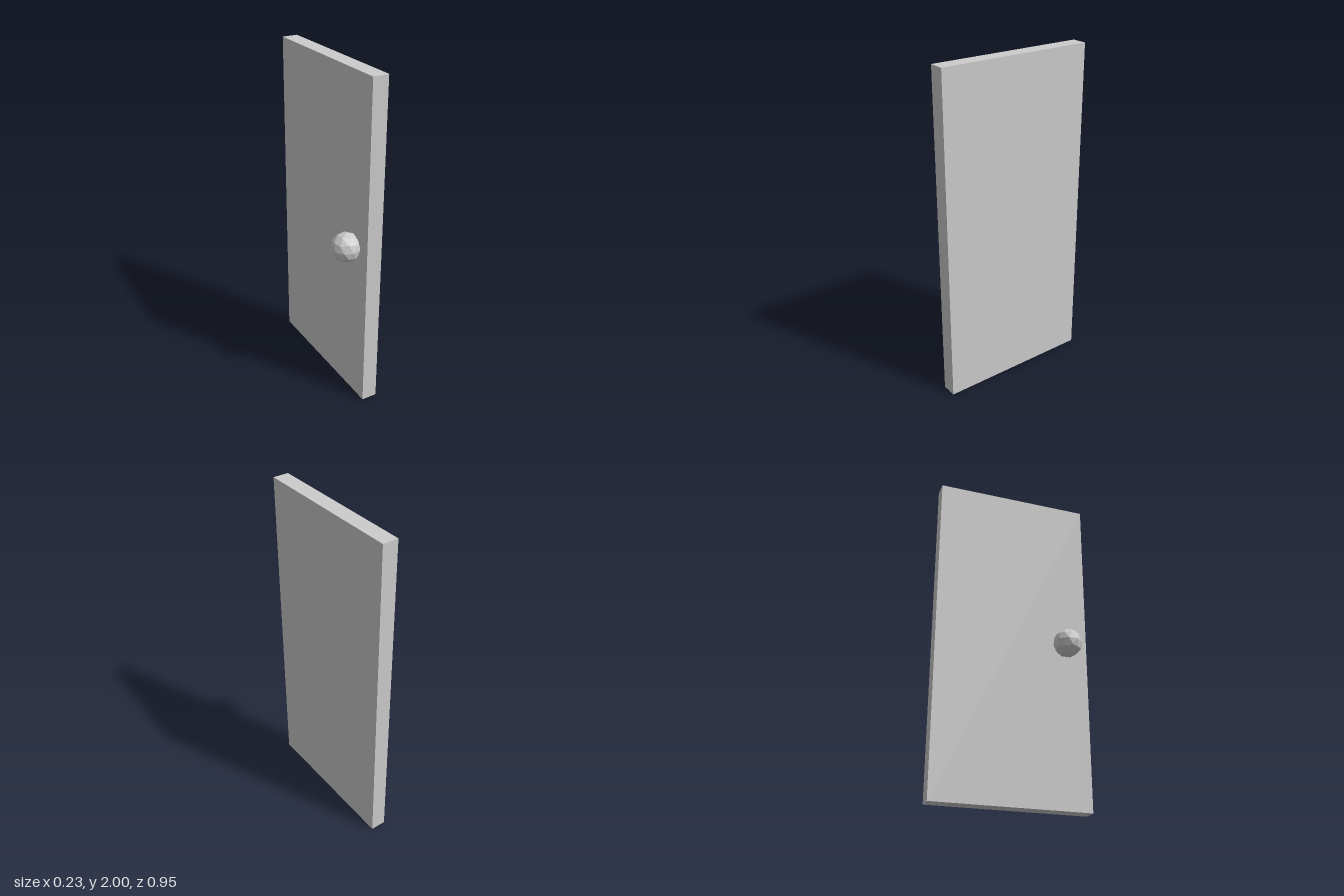
import * as THREE from 'three';

export function createModel() {
  const group = new THREE.Group();
  const material = new THREE.MeshStandardMaterial({ color: 0xcccccc, flatShading: true });

  // Door slab, standing on the ground
  const panel = new THREE.Mesh(new THREE.BoxGeometry(0.094, 2, 0.95), material);
  panel.name = 'doorPanel';
  panel.position.set(0.066, 1, 0);
  group.add(panel);

  // Faceted round knob, turned so that one vertex points straight up
  const knobGeometry = new THREE.IcosahedronGeometry(0.088, 1);
  knobGeometry.rotateZ(-Math.atan(2 / (1 + Math.sqrt(5))));
  const knob = new THREE.Mesh(knobGeometry, material);
  knob.name = 'doorKnob';
  knob.position.set(-0.03, 1.002, 0.332);
  group.add(knob);

  return group;
}
